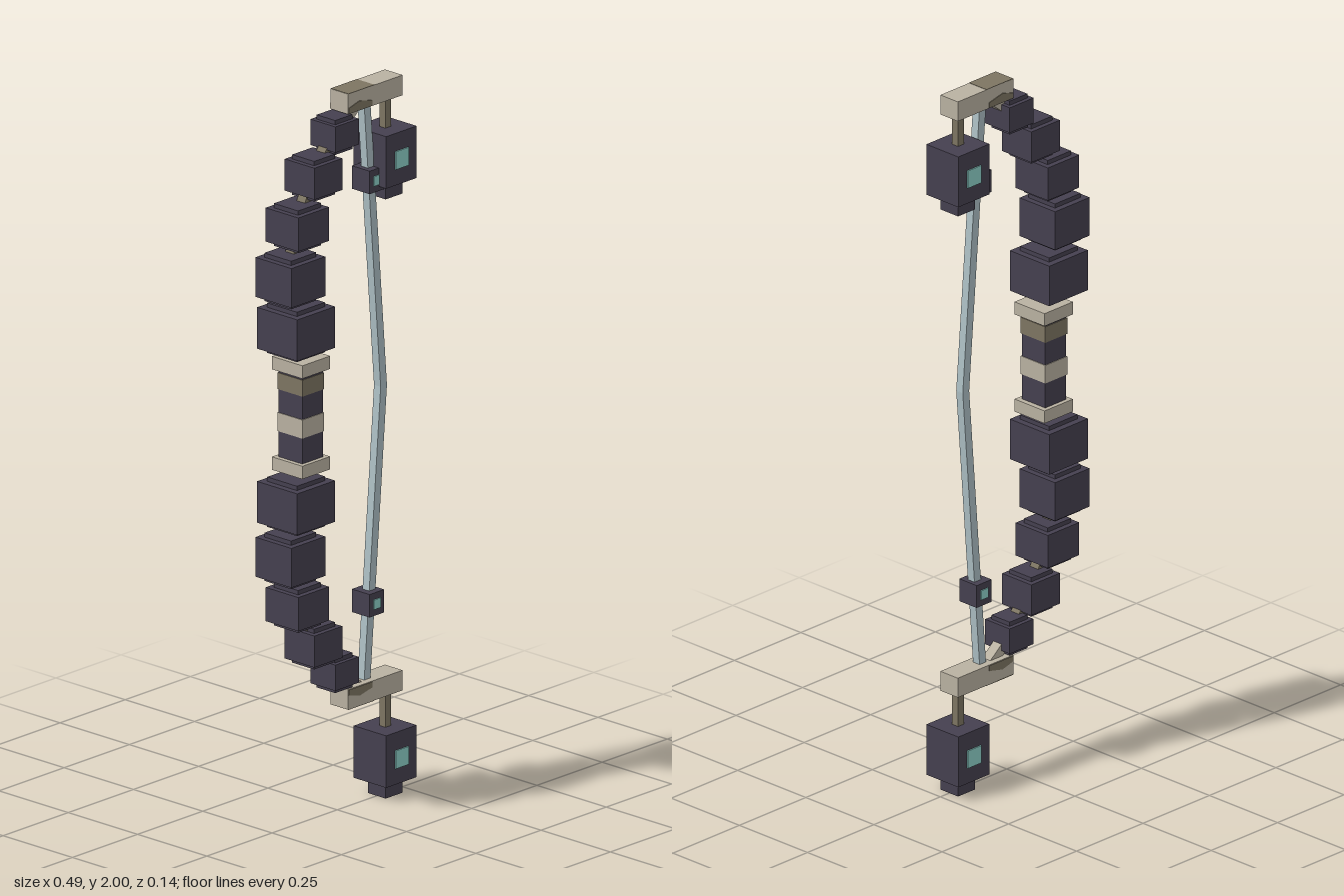
import * as THREE from 'three';

const mat = (name, color, flat = true) => {
  const m = new THREE.MeshStandardMaterial({ color });
  m.name = name;
  return m;
};

export function createModel() {
  const dark = mat('darkPlum', 0x45404f);
  const tan = mat('paleStone', 0xb9b1a1);
  const olive = mat('oliveStone', 0x7d7562);
  const steel = mat('paleSteel', 0xadbfc4);
  const cyan = mat('cyanGlow', 0x8ccfc8);

  const bow = new THREE.Group();
  bow.name = 'bow';
  const MID = 1.1425;

  const box = (parent, name, m, w, h, d, x, y, z = 0) => {
    const mesh = new THREE.Mesh(new THREE.BoxGeometry(w, h, d), m);
    mesh.name = name;
    mesh.position.set(x, y, z);
    parent.add(mesh);
    return mesh;
  };
  // Square bar from a to b in the xy plane
  const bar = (parent, name, m, t, a, b) => {
    const dx = b[0] - a[0], dy = b[1] - a[1];
    const mesh = box(parent, name, m, t, Math.hypot(dx, dy), t, (a[0] + b[0]) / 2, (a[1] + b[1]) / 2);
    mesh.rotation.z = -Math.atan2(dx, dy);
  };
  // Glowing plates on front and back
  const windows = (parent, name, size, x, y, z) => {
    for (const s of [1, -1]) box(parent, name, cyan, size, size, 0.008, x, y, s * z);
  };

  // Limb blocks: x, offset from the middle, width, height
  const blocks = [
    [-0.158, 0.2425, 0.145, 0.115],
    [-0.18, 0.39, 0.13, 0.11],
    [-0.153, 0.529, 0.118, 0.094],
    [-0.091, 0.652, 0.107, 0.088],
    [-0.01, 0.75, 0.09, 0.072],
  ];

  for (const s of [1, -1]) {
    const limb = new THREE.Group();
    limb.name = s > 0 ? 'upperLimb' : 'lowerLimb';
    bow.add(limb);
    const Y = (o) => MID + s * o;

    let prev = [-0.14, Y(0.135)];
    for (const [x, o, w, h] of blocks) {
      box(limb, 'limbBlock', dark, w, h, w, x, Y(o));
      box(limb, 'limbBlockCaps', dark, w * 0.74, h + 0.024, w * 0.74, x, Y(o));
      bar(limb, 'limbLink', olive, 0.03, prev, [x, Y(o)]);
      prev = [x, Y(o)];
    }
    bar(limb, 'tipLink', tan, 0.03, prev, [0.07, Y(0.815)]);

    // Tip beam with its weathered inner end
    box(limb, 'tipBeam', tan, 0.209, 0.056, 0.064, 0.1125, Y(0.8295));
    box(limb, 'beamPatchOuter', olive, 0.1, 0.003, 0.064, 0.059, Y(0.857));
    const patch = new THREE.Shape();
    patch.moveTo(0.009, Y(0.803));
    patch.lineTo(0.1, Y(0.803));
    patch.lineTo(0.1, Y(0.818));
    patch.lineTo(0.05, Y(0.829));
    patch.lineTo(0.009, Y(0.818));
    const patchGeo = new THREE.ExtrudeGeometry(patch, { depth: 0.003, bevelEnabled: false });
    for (const z of [0.031, -0.034]) {
      const p = new THREE.Mesh(patchGeo, olive);
      p.name = 'beamPatchSide';
      p.position.z = z;
      limb.add(p);
    }

    // Collar at the end of the grip
    box(limb, 'gripCollar', tan, 0.107, 0.036, 0.11, -0.139, Y(0.14));

    // Half of the bent string and its charm
    bar(limb, 'string', steel, 0.024, [0.102, Y(0.81)], [0.166, Y(-0.002)]);
    box(limb, 'stringCharm', dark, 0.056, 0.064, 0.064, 0.118, Y(0.59));
    windows(limb, 'charmWindow', 0.027, 0.118, Y(0.59), 0.031);
  }

  // Wrapped grip
  box(bow, 'grip', dark, 0.079, 0.26, 0.086, -0.14, MID);
  for (const [y, h] of [[1.232, 0.046], [1.118, 0.052]])
    box(bow, 'gripBand', y > 1.2 ? olive : tan, 0.083, h, 0.09, -0.14, y);

  // Hanging lanterns below both tip beams
  for (const [name, y] of [['upperLantern', 1.67], ['lowerLantern', 0]]) {
    const lantern = new THREE.Group();
    lantern.name = name;
    lantern.position.set(0.184, y, 0);
    bow.add(lantern);
    box(lantern, 'lanternFoot', dark, 0.064, 0.05, 0.064, 0, 0.025);
    box(lantern, 'lanternBody', dark, 0.117, 0.145, 0.117, 0, 0.1155);
    box(lantern, 'lanternPost', olive, 0.022, 0.11, 0.022, 0, 0.235);
    windows(lantern, 'lanternWindow', 0.05, 0, 0.113, 0.058);
  }
  return bow;
}
